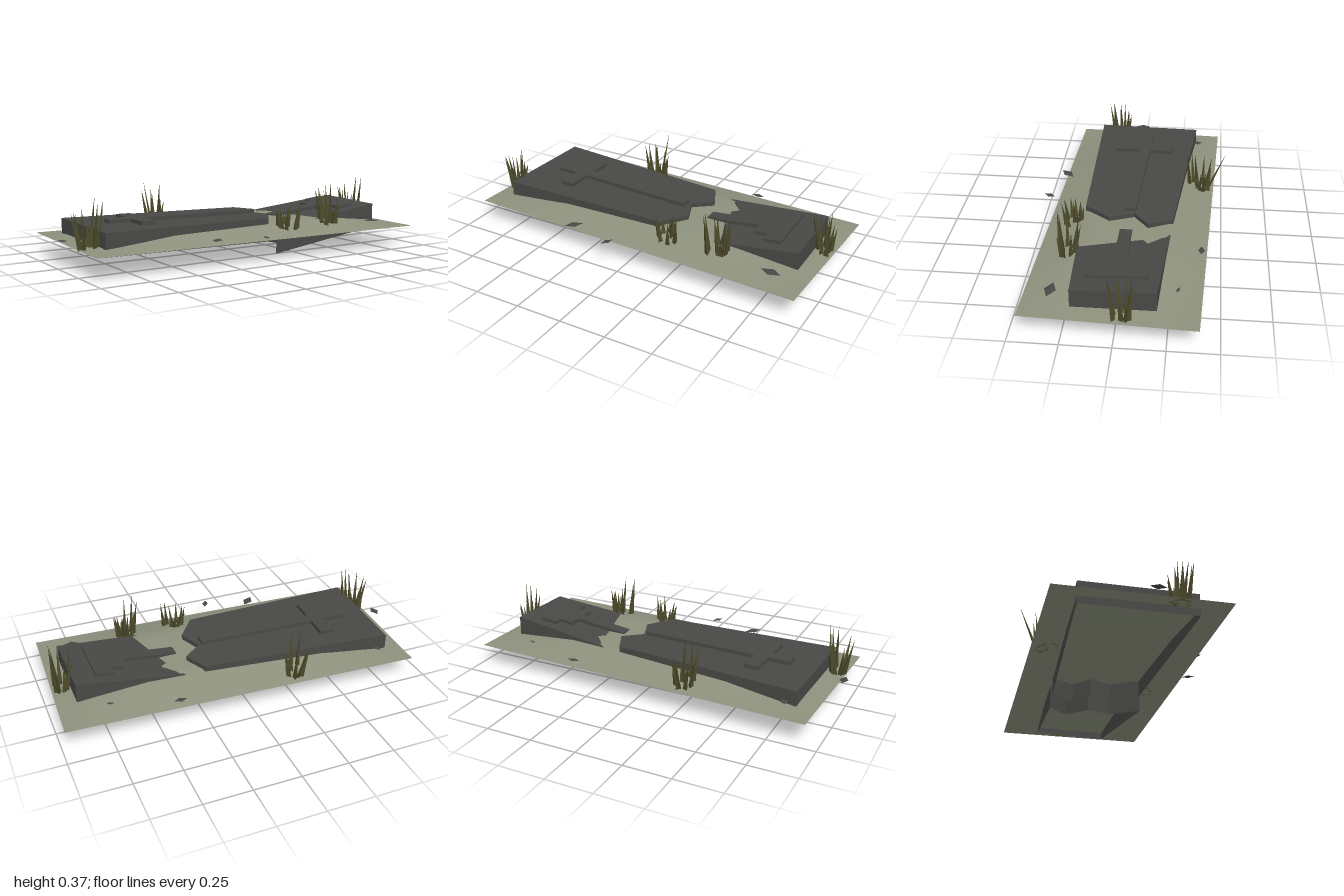
import * as THREE from 'three';

const paint = (name, color, flat = true) => {
  const m = new THREE.MeshStandardMaterial({ color, side: THREE.DoubleSide, flatShading: flat });
  m.name = name;
  return m;
};

// Ground corners (x, z) and the height of the low mound
const corner = { bl: [-0.93, -0.475], br: [0.98, -0.4], fl: [-0.965, 0.385], fr: [0.945, 0.46] };
const mound = (u, v) => {
  const ramp = t => Math.min(1, 4 * Math.min(t, 1 - t));
  return 0.11 + 0.058 * ramp(u) * ramp(v);
};
const groundY = (x, z) => {
  const u = (x + 0.95) / 1.91;
  return mound(THREE.MathUtils.clamp(u, 0, 1), THREE.MathUtils.clamp((z + 0.475 - 0.075 * u) / 0.86, 0, 1));
};

function groundGeometry() {
  const g = new THREE.PlaneGeometry(1, 1, 24, 16);
  const p = g.attributes.position;
  const mix = THREE.MathUtils.lerp;
  for (let i = 0; i < p.count; i++) {
    const u = p.getX(i) + 0.5, v = 0.5 - p.getY(i);
    const at = k => mix(mix(corner.bl[k], corner.br[k], u), mix(corner.fl[k], corner.fr[k], u), v);
    p.setXYZ(i, at(0), mound(u, v), at(1));
  }
  g.computeVertexNormals();
  return g;
}

// Upright shell over an (x, z) outline, open below; top and bottom are height functions
function shell(outline, top, bottom) {
  let pts = outline.map(([x, z]) => new THREE.Vector2(x, -z));
  if (THREE.ShapeUtils.isClockWise(pts)) pts.reverse();
  const pos = [];
  const put = (p, h) => pos.push(p.x, h(p.x, -p.y), -p.y);
  for (const tri of THREE.ShapeUtils.triangulateShape(pts, [])) tri.forEach(i => put(pts[i], top));
  pts.forEach((a, i) => {
    const b = pts[(i + 1) % pts.length];
    put(a, bottom); put(b, bottom); put(b, top);
    put(a, bottom); put(b, top); put(a, top);
  });
  const g = new THREE.BufferGeometry();
  g.setAttribute('position', new THREE.Float32BufferAttribute(pos, 3));
  g.computeVertexNormals();
  return g;
}

export function createModel() {
  const model = new THREE.Group();
  const stone = paint('dark stone', 0x484846);
  const earth = paint('pale earth', 0x8c907c, false);
  const grass = paint('dry grass', 0x4c4a2a);
  const add = (name, geo, mat, parent = model) => {
    const m = new THREE.Mesh(geo, mat);
    m.name = name;
    parent.add(m);
    return m;
  };

  add('ground', groundGeometry(), earth);

  // Large slab piece with its raised cross
  const largeTop = x => 0.199 - 0.006 * (x + 0.86);
  add('largeSlab', shell(
    [[-0.84, -0.335], [0.19, -0.24], [0.25, -0.11], [0.15, -0.03], [0.2, 0.1], [0.1, 0.238], [-0.86, 0.252]],
    largeTop, x => 0.081 - 0.015 * (x + 0.86)), stone);
  add('largeCross', shell(
    [[-0.715, -0.073], [-0.595, -0.069], [-0.588, -0.196], [-0.51, -0.19], [-0.516, -0.066], [0.133, -0.036],
      [0.13, 0.03], [-0.519, -0.002], [-0.525, 0.134], [-0.603, 0.13], [-0.597, -0.005], [-0.718, -0.01]],
    x => largeTop(x) + 0.02, largeTop), stone);

  // Sunken small piece, tilted down toward the break
  const smallBottom = (x, z) => 0.006 + (x - 0.14) * 0.11 - 0.03 * z;
  const smallTop = (x, z) => smallBottom(x, z) + 0.135;
  add('smallSlab', shell(
    [[0.295, -0.232], [0.868, -0.197], [0.868, 0.215], [0.14, 0.255], [0.28, 0.11], [0.25, -0.02], [0.4, -0.12]],
    smallTop, smallBottom), stone);
  add('smallCross', shell(
    [[0.28, -0.03], [0.58, -0.03], [0.58, -0.1], [0.655, -0.1], [0.655, -0.148], [0.75, -0.148],
      [0.75, 0.16], [0.655, 0.16], [0.655, 0.102], [0.58, 0.102], [0.58, 0.036], [0.28, 0.036]],
    (x, z) => smallTop(x, z) + 0.018, smallTop), stone);

  // Flat stone chips: x, z, half length, half width, turn
  const chips = [[-0.977, 0.01, 0.023, 0.042, 0], [-0.78, -0.345, 0.022, 0.03, 0.4], [0.385, -0.395, 0.035, 0.018, 0],
    [0.77, 0.322, 0.056, 0.03, -0.15], [-0.33, 0.405, 0.05, 0.027, 0.8], [-0.08, 0.47, 0.036, 0.017, 1.1],
    [0.72, -0.29, 0.022, 0.009, -0.3]];
  for (const [x, z, a, b, turn] of chips) {
    const chip = add('stoneChip', new THREE.OctahedronGeometry(1), stone);
    chip.scale.set(a, 0.004, b);
    chip.rotation.y = turn;
    chip.position.set(x, Math.max(0.138, groundY(x, z) + 0.004), z);
  }

  // Grass tufts: x, z, tallest tip, blade count, starting angle, spread
  const tufts = [[-0.9, 0.13, 0.36, 11, 0.4, 1], [-0.25, -0.375, 0.35, 9, 1.5, 1.1],
    [0.18, 0.28, 0.29, 11, 0.2, 1.1], [0.48, 0.29, 0.37, 11, 2.2, 1.1], [0.92, -0.045, 0.36, 10, 0.9, 0.9]];
  const up = new THREE.Vector3(0, 1, 0);
  for (const [x, z, tip, count, start, spread] of tufts) {
    const tuft = new THREE.Group();
    tuft.name = 'grassTuft';
    model.add(tuft);
    for (let i = 0; i < count; i++) {
      const angle = start + i * 2.4;
      const r = (0.015 + 0.045 * ((i * 0.618) % 1)) * spread;
      const bx = x + Math.cos(angle) * r, bz = z + Math.sin(angle) * r;
      const y = groundY(bx, bz) - 0.005;
      const height = (tip - y) * (1 - 0.62 * ((i * 0.382) % 1));
      const lean = (0.1 + 0.15 * ((i * 0.755) % 1)) * height;
      const dir = new THREE.Vector3(Math.cos(angle) * lean, height, Math.sin(angle) * lean);
      const length = dir.length();
      const blade = add('grassBlade', new THREE.ConeGeometry(0.015, length, 3, 1, true).translate(0, length / 2, 0), grass, tuft);
      blade.position.set(bx, y, bz);
      blade.quaternion.setFromUnitVectors(up, dir.normalize());
      blade.rotateY(angle);
    }
  }
  // One long blade bending out behind
  const stray = add('strayBlade', new THREE.ConeGeometry(0.01, 0.24, 3, 1, true).translate(0, 0.12, 0), grass);
  stray.position.set(-0.26, 0.125, -0.42);
  stray.rotation.x = -0.38;
  return model;
}
